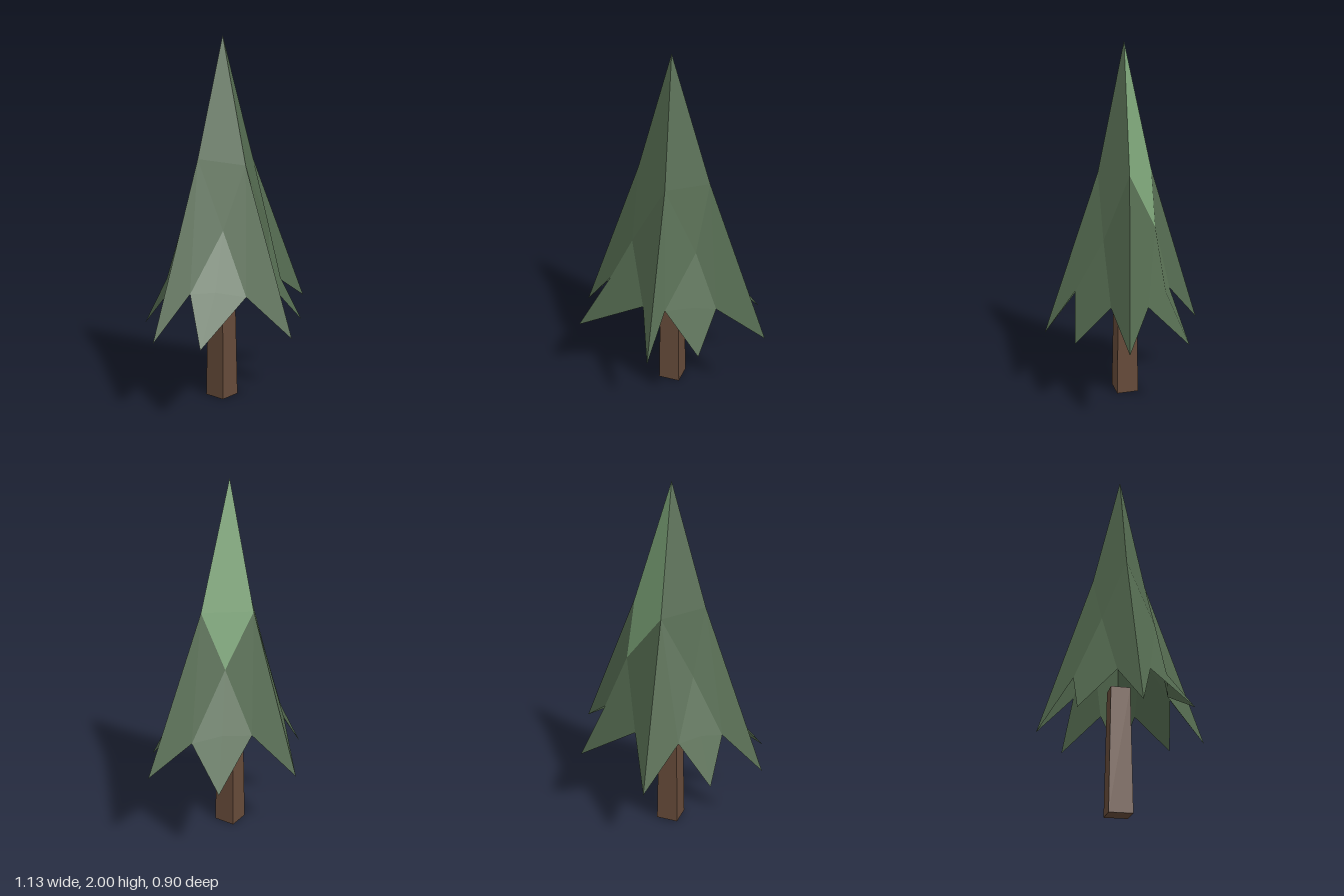
import * as THREE from 'three';

const needleGreen = new THREE.MeshStandardMaterial({ color: 0x556c51, side: THREE.DoubleSide });
needleGreen.name = 'needleGreen';
const lightGreen = new THREE.MeshStandardMaterial({ color: 0x7fa77b, side: THREE.DoubleSide });
lightGreen.name = 'lightGreen';
const barkBrown = new THREE.MeshStandardMaterial({ color: 0x654a39, flatShading: true });
barkBrown.name = 'barkBrown';

// Rings run clockwise seen from above, starting at -x.
const ring = (points) => points.map((p) => new THREE.Vector3(...p));
const apex = new THREE.Vector3(-0.025, 2, -0.015);
const ridges = ring([[-0.22, 1.35, -0.02], [-0.025, 1.31, -0.17], [0.2, 1.33, 0.015], [-0.01, 1.31, 0.135]]);
const mids = ring([[-0.2, 1.0, -0.15], [0.19, 1.04, -0.13], [0.17, 0.98, 0.15], [-0.2, 0.98, 0.14]]);
const tips = ring([
  [-0.567, 0.42, -0.02], [-0.357, 0.435, -0.297], [-0.03, 0.402, -0.453], [0.435, 0.445, -0.252],
  [0.563, 0.49, 0.112], [0.25, 0.44, 0.33], [-0.003, 0.41, 0.45], [-0.5, 0.425, 0.25],
]);
const notches = ring([
  [-0.355, 0.65, -0.1], [-0.17, 0.66, -0.29], [0.1, 0.65, -0.245], [0.375, 0.66, -0.04],
  [0.288, 0.64, 0.14], [0.04, 0.66, 0.28], [-0.11, 0.62, 0.225], [-0.375, 0.66, 0.065],
]);

// A bent panel given counter-clockwise and shaded as one face, fanned from
// its first corner or, when bulged, from its centre.
function panel(name, corners, material, bulged = false) {
  const hub = bulged
    ? corners.reduce((sum, c) => sum.add(c), new THREE.Vector3()).divideScalar(corners.length)
    : corners[0];
  const rim = bulged ? [...corners, corners[0]] : corners.slice(1);
  const points = [], normal = new THREE.Vector3();
  for (let i = 0; i + 1 < rim.length; i++) {
    points.push(hub, rim[i], rim[i + 1]);
    normal.add(rim[i].clone().sub(hub).cross(rim[i + 1].clone().sub(hub)));
  }
  normal.normalize();
  const geometry = new THREE.BufferGeometry().setFromPoints(points);
  const normals = points.flatMap(() => normal.toArray());
  geometry.setAttribute('normal', new THREE.Float32BufferAttribute(normals, 3));
  const mesh = new THREE.Mesh(geometry, material);
  mesh.name = name;
  return mesh;
}

export function createModel() {
  const group = new THREE.Group();
  group.name = 'pineTree';

  // hollow crown of four long boughs with four short ones between them
  const crown = new THREE.Group();
  crown.name = 'crown';
  for (let i = 0; i < 4; i++) {
    const ridge = ridges[i], nextRidge = ridges[(i + 1) % 4];
    const mid = mids[i], lastMid = mids[(i + 3) % 4];
    const longTip = tips[2 * i], shortTip = tips[2 * i + 1];
    const notch = notches[2 * i], nextNotch = notches[2 * i + 1], lastNotch = notches[(2 * i + 7) % 8];
    crown.add(
      // one of the four top facets is lighter
      panel('topFacet', [apex, nextRidge, ridge], i === 1 ? lightGreen : needleGreen),
      panel('topFacetPoint', [ridge, nextRidge, mid], i === 1 ? lightGreen : needleGreen),
      panel('longBoughSide', [ridge, mid, notch, longTip], needleGreen),
      panel('longBoughSide', [ridge, longTip, lastNotch, lastMid], needleGreen),
      panel('shortBough', [mid, nextNotch, shortTip, notch], needleGreen, true),
    );
    // both parts of a top facet share one shading direction
    const [facet, point] = crown.children.slice(-5);
    point.geometry.attributes.normal.copy(facet.geometry.attributes.normal);
  }
  group.add(crown);

  // square tapered trunk
  const trunkGeometry = new THREE.CylinderGeometry(0.052 * Math.SQRT2, 0.063 * Math.SQRT2, 0.67, 4);
  trunkGeometry.rotateY(Math.PI / 4);
  const trunk = new THREE.Mesh(trunkGeometry, barkBrown);
  trunk.name = 'trunk';
  trunk.position.set(-0.026, 0.335, -0.022);
  group.add(trunk);

  return group;
}
